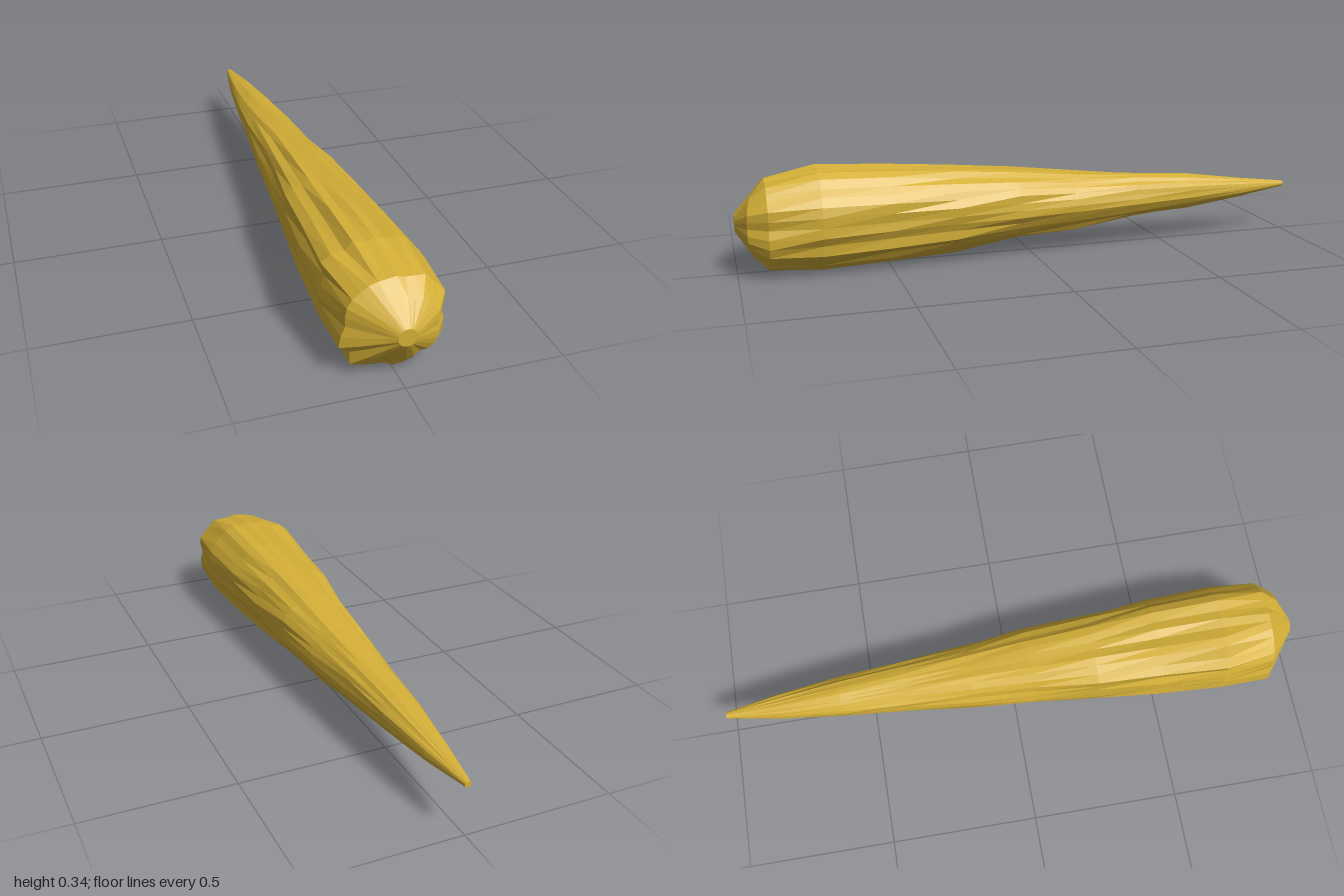
import * as THREE from 'three';

const SIDES = 32;
const CENTRE_Y = 0.175;

// Radius at each of the 32 angles, counter-clockwise from +x
const WIDEST = [
  .168, .173, .175, .171, .168, .176, .177, .160, .163, .161, .178, .166, .191, .197, .166, .168,
  .173, .167, .183, .181, .187, .181, .180, .171, .170, .177, .175, .171, .173, .176, .163, .172];
const SHOULDER = [
  .143, .153, .163, .154, .153, .155, .142, .135, .140, .138, .142, .147, .149, .155, .157, .152,
  .148, .164, .180, .160, .187, .172, .160, .152, .165, .165, .163, .150, .164, .166, .163, .155];

// Tapering rings: z, then reach to right (+x), top, left (-x), bottom
const TAPER = [
  [0.50, .157, .160, .160, .165],
  [0.28, .143, .146, .145, .153],
  [0.06, .131, .127, .124, .120],
  [-0.15, .112, .100, .110, .114],
  [-0.38, .090, .079, .086, .078],
  [-0.60, .069, .061, .068, .064],
  [-0.82, .043, .030, .041, .037],
  [-1.00, .011, .009, .011, .010]];

function makeRandom(seed) {
  return () => {
    seed = (seed * 16807) % 2147483647;
    return seed / 2147483647;
  };
}

// One loop of points; the rule gives [radius, z] for each angle
function makeRing(rule) {
  return Array.from({ length: SIDES }, (_, i) => {
    const a = (i / SIDES) * Math.PI * 2;
    const [r, z] = rule(i, a);
    return [Math.cos(a) * r, CENTRE_Y + Math.sin(a) * r, z];
  });
}

// Skin the loops from front to back and close both ends, faceted
function skin(rings) {
  const points = rings.flat();
  const index = [];
  const last = rings.length - 1;
  const front = points.push([0, CENTRE_Y, rings[0][0][2]]) - 1;
  const back = points.push([0, CENTRE_Y, rings[last][0][2]]) - 1;
  for (let i = 0; i < SIDES; i++) {
    const j = (i + 1) % SIDES;
    for (let k = 0; k < last; k++) {
      const a = k * SIDES + i, d = k * SIDES + j;
      const b = a + SIDES, c = d + SIDES;
      index.push(a, b, c, a, c, d);
    }
    index.push(front, i, j, back, last * SIDES + j, last * SIDES + i);
  }
  const shared = new THREE.BufferGeometry();
  shared.setAttribute('position', new THREE.Float32BufferAttribute(points.flat(), 3));
  shared.setIndex(index);
  const geometry = shared.toNonIndexed();
  geometry.computeVertexNormals();
  return geometry;
}

export function createModel() {
  const random = makeRandom(41);
  const gold = new THREE.MeshStandardMaterial({ color: 0xd4af37 });
  gold.name = 'gold';

  // Rounded blunt end
  const rings = [
    makeRing(() => [0.029, 1]),
    makeRing((i, a) => [SHOULDER[i] * 0.72, 0.935 + 0.03 * Math.max(0, Math.cos(a))]),
    makeRing((i) => [SHOULDER[i], 0.9]),
    makeRing((i) => [WIDEST[i], 0.73]),
  ];

  // Lumpy body tapering to the point
  TAPER.forEach(([z, right, top, left, bottom], k) => {
    const fade = Math.max(0, 1 - (k + 1) * 0.2);
    rings.push(makeRing((i, a) => {
      const c = Math.cos(a), s = Math.sin(a);
      const reach = c * c * (c > 0 ? right : left) + s * s * (s > 0 ? top : bottom);
      const lump = 1 + (WIDEST[i] / 0.172 - 1) * fade;
      const bump = 0.95 + random() * 0.08;
      return [reach * lump * (k === TAPER.length - 1 ? 1 : bump), z];
    }));
  });

  const body = new THREE.Mesh(skin(rings), gold);
  body.name = 'taperedBody';

  const group = new THREE.Group();
  group.name = 'taperedRoot';
  group.add(body);
  return group;
}
